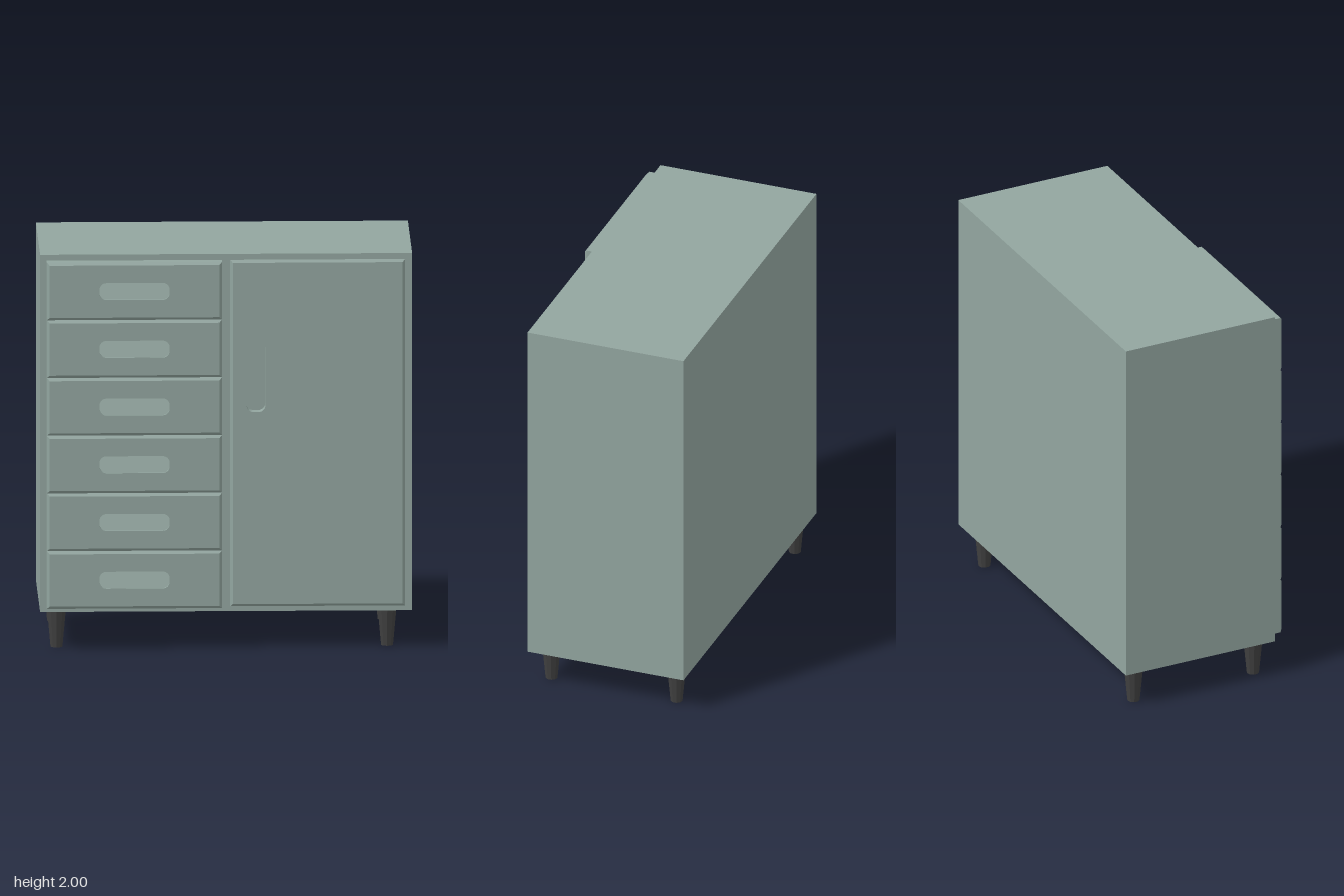
import * as THREE from 'three';

const paint = new THREE.MeshStandardMaterial({ color: 0x92a59f, flatShading: true });
const legPaint = new THREE.MeshStandardMaterial({ color: 0x404040, flatShading: true });

function add(parent, name, geometry, material = paint) {
  const mesh = new THREE.Mesh(geometry, material);
  mesh.name = name;
  parent.add(mesh);
  return mesh;
}

// Rounded slot outline centred on (x, y)
function slot(path, x, y, w, h, r) {
  const a = w / 2 - r, b = h / 2 - r, q = Math.PI / 2;
  path.absarc(x + a, y + b, r, 0, q);
  path.absarc(x - a, y + b, r, q, 2 * q);
  path.absarc(x - a, y - b, r, 2 * q, 3 * q);
  path.absarc(x + a, y - b, r, 3 * q, 4 * q);
  path.closePath();
  return path;
}

function rectangle(x0, x1, y0, y1) {
  return new THREE.Shape([[x0, y0], [x1, y0], [x1, y1], [x0, y1]].map(p => new THREE.Vector2(...p)));
}

// Panel with a slot-shaped hole; its front outer edge is chamfered by "bevel"
function panel(x0, x1, y0, y1, depth, bevel, hole) {
  const shape = rectangle(x0, x1, y0, y1);
  shape.holes.push(slot(new THREE.Path(), ...hole));
  const geometry = new THREE.ExtrudeGeometry(shape, { depth, steps: 2, bevelEnabled: false, curveSegments: 4 });
  const p = geometry.attributes.position;
  const cx = (x0 + x1) / 2, cy = (y0 + y1) / 2;
  for (let i = 0; i < p.count; i++) {
    const x = p.getX(i), y = p.getY(i), z = p.getZ(i);
    if (Math.abs(z - depth / 2) < 1e-4) p.setZ(i, depth - bevel);
    const outer = Math.abs(x - x0) < 1e-4 || Math.abs(x - x1) < 1e-4;
    if (outer && Math.abs(z - depth) < 1e-4) {
      p.setXY(i, x - Math.sign(x - cx) * bevel, y - Math.sign(y - cy) * bevel);
    }
  }
  geometry.computeVertexNormals();
  return geometry;
}

export function createModel() {
  const cabinet = new THREE.Group();
  cabinet.name = 'cabinet';
  const bottom = 0.19, top = 2, front = 0.385, back = -0.445, half = 0.925;
  const low = 0.215, high = 1.97, recess = 0.04;
  const doorSlot = [0.148, 1.378, 0.095, 0.355, 0.035];

  // Carcass, with a front layer pierced behind the door handle
  const carcassDepth = front - recess - back;
  add(cabinet, 'carcass', new THREE.BoxGeometry(half * 2, top - bottom, carcassDepth))
    .position.set(0, (top + bottom) / 2, back + carcassDepth / 2);
  add(cabinet, 'carcassFront', panel(-half, half, bottom, top, recess, 0, doorSlot))
    .position.z = front - recess;

  // Door
  add(cabinet, 'door', panel(0.02, 0.89, low, high, 0.015, 0.013, doorSlot)).position.z = front;

  // Column of six drawers, each with a sloping finger recess
  const count = 6, height = (high - low) / count, thickness = 0.061;
  for (let i = 0; i < count; i++) {
    const drawer = new THREE.Group();
    drawer.name = 'drawer' + (i + 1);
    drawer.position.set(-0.457, low + height * (i + 0.5), front);
    cabinet.add(drawer);
    const handle = [0, 0, 0.35, 0.086, 0.035];
    add(drawer, 'drawerFront', panel(-0.436, 0.436, -height / 2, height / 2, thickness, 0.014, handle));
    const floor = new THREE.ShapeGeometry(slot(new THREE.Shape(), ...handle), 4);
    const p = floor.attributes.position;
    for (let k = 0; k < p.count; k++) p.setZ(k, 0.033 - p.getY(k) * 0.4);
    floor.computeVertexNormals();
    add(drawer, 'handleRecess', floor);
  }

  // Tapered legs
  for (const x of [-0.842, 0.802]) {
    for (const z of [0.304, -0.362]) {
      add(cabinet, 'leg', new THREE.CylinderGeometry(0.049, 0.031, bottom, 10), legPaint)
        .position.set(x, bottom / 2, z);
    }
  }
  return cabinet;
}
